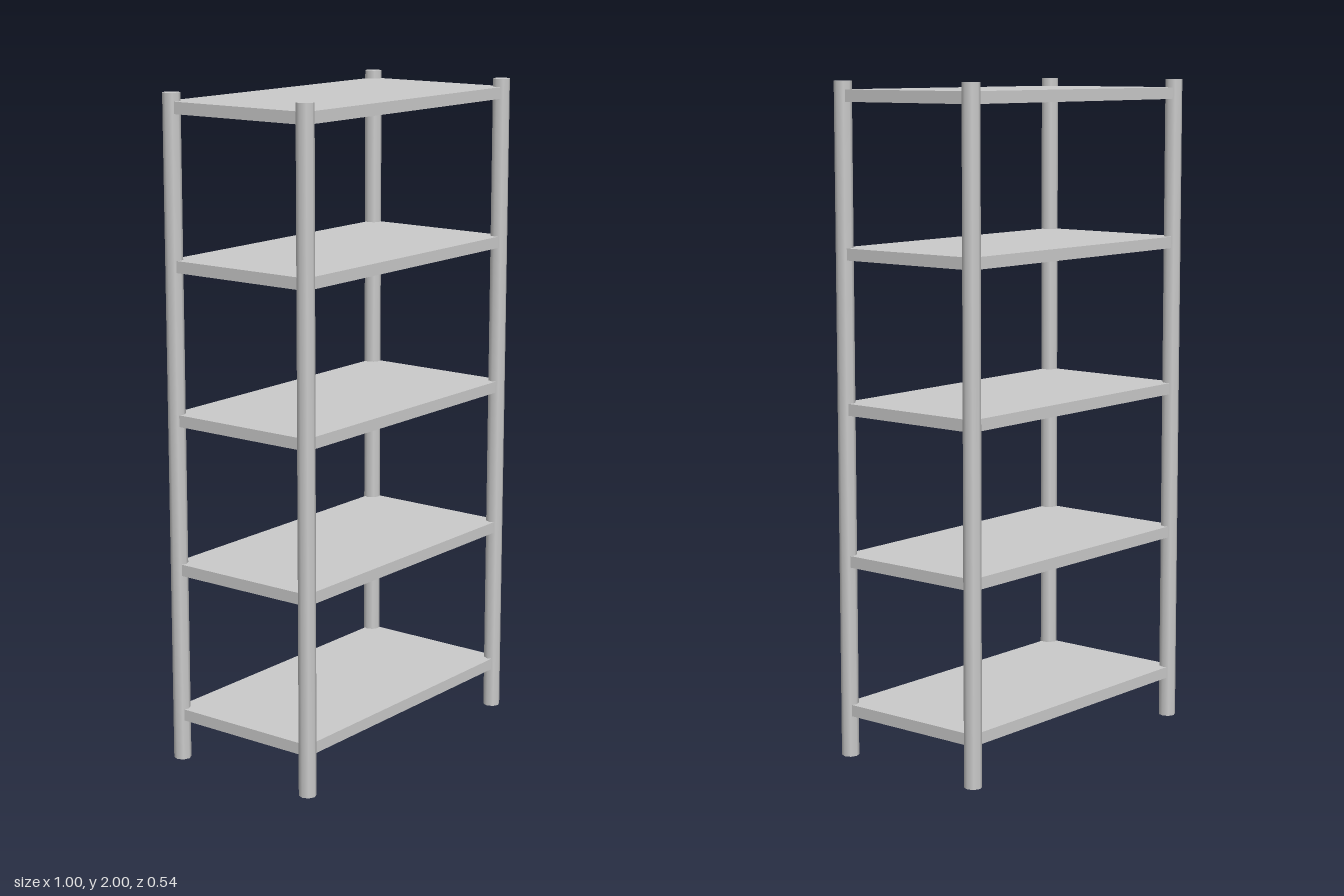
import * as THREE from 'three';

export function createModel() {
  const group = new THREE.Group();
  const material = new THREE.MeshStandardMaterial({ color: 0xcccccc });

  // Four round corner posts
  const postGeometry = new THREE.CylinderGeometry(0.026, 0.026, 2, 8);
  for (const x of [-1, 1]) {
    for (const z of [-1, 1]) {
      const post = new THREE.Mesh(postGeometry, material);
      post.name = (z > 0 ? 'front' : 'back') + (x > 0 ? 'Left' : 'Right') + 'Post';
      post.position.set(x * 0.474, 1, z * 0.242);
      group.add(post);
    }
  }

  // Five evenly spaced shelves
  const shelfGeometry = new THREE.BoxGeometry(0.974, 0.035, 0.507);
  for (let i = 0; i < 5; i++) {
    const shelf = new THREE.Mesh(shelfGeometry, material);
    shelf.name = `shelf${i + 1}`;
    shelf.position.y = 0.142 + i * 0.454;
    group.add(shelf);
  }

  return group;
}
